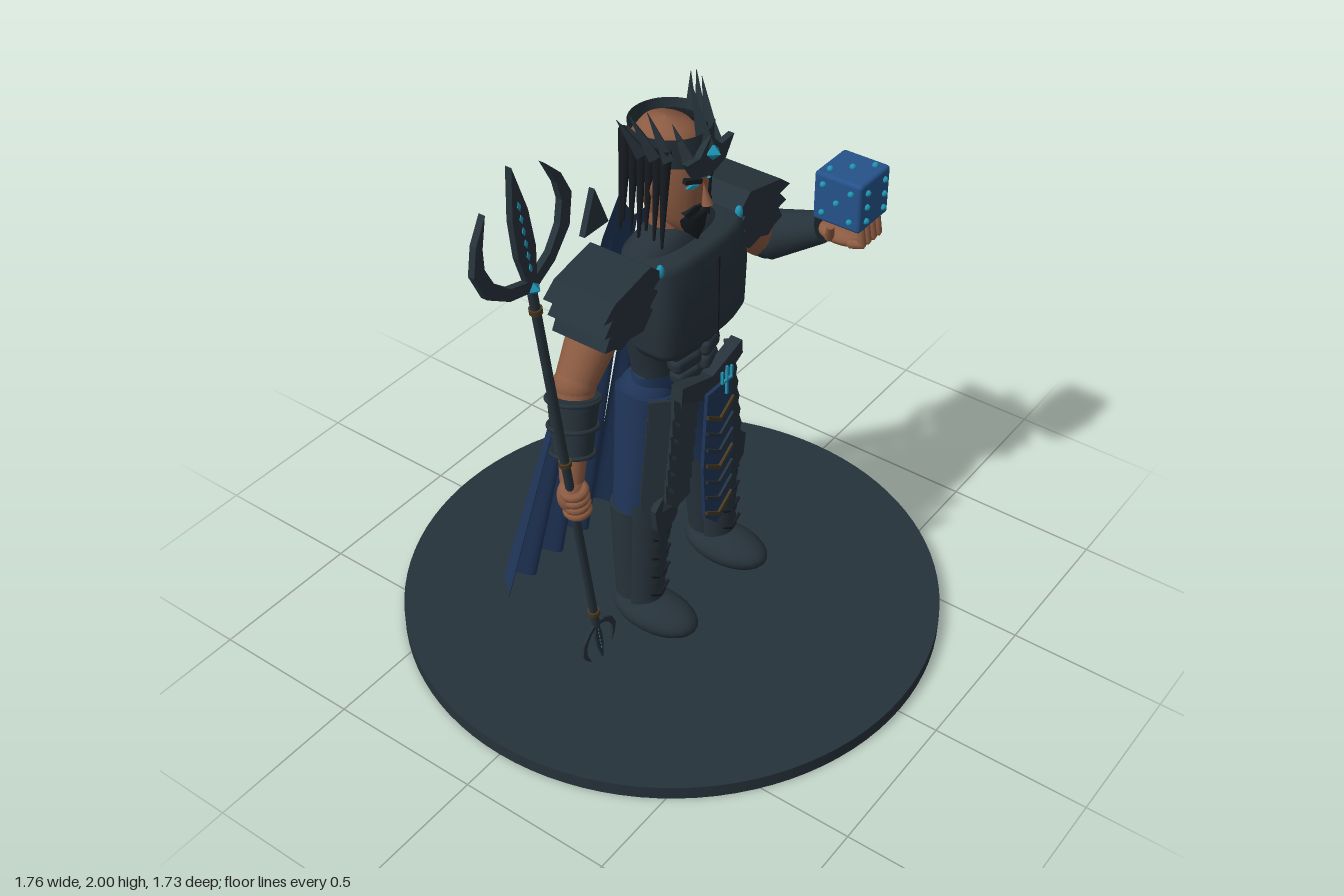
import * as THREE from 'three';
import { RoundedBoxGeometry } from 'three/addons/geometries/RoundedBoxGeometry.js';
import { ParametricGeometry } from 'three/addons/geometries/ParametricGeometry.js';

const mat = (name, color, side = THREE.FrontSide) => {
  const m = new THREE.MeshStandardMaterial({ color, side });
  m.name = name;
  return m;
};
const V = (p) => new THREE.Vector3(...p);

export function createModel() {
  const armour = mat('slate armour', 0x26323a, THREE.DoubleSide);
  const hair = mat('black hair', 0x171c21, THREE.DoubleSide);
  const skin = mat('skin', 0x8c5b42);
  const navy = mat('navy cloth', 0x1f3457, THREE.DoubleSide);
  const blue = mat('cube blue', 0x25528a);
  const teal = mat('teal glow', 0x1f93b3);
  const bronze = mat('dark bronze', 0x47391f);

  const model = new THREE.Group();
  const body = new THREE.Group();
  body.name = 'figure';
  body.position.x = 0.01;
  model.add(body);

  const add = (parent, name, geo, m, pos = [0, 0, 0], rot = [0, 0, 0]) => {
    const mesh = new THREE.Mesh(geo, m);
    mesh.name = name;
    mesh.position.set(...pos);
    mesh.rotation.set(...rot);
    parent.add(mesh);
    return mesh;
  };
  const ball = (parent, name, m, pos, r) =>
    add(parent, name, new THREE.SphereGeometry(1, 24, 16), m, pos).scale.set(...r);
  // Tapered round bar from a to b
  const rod = (parent, name, m, a, b, ra, rb, sides = 20) => {
    const d = V(b).sub(V(a));
    const geo = new THREE.CylinderGeometry(rb, ra, d.length(), sides);
    const mesh = add(parent, name, geo, m, V(a).add(V(b)).multiplyScalar(0.5).toArray());
    mesh.quaternion.setFromUnitVectors(new THREE.Vector3(0, 1, 0), d.normalize());
    return mesh;
  };
  // Flat cut plate, centred on its own z
  const plate = (pts, depth) => {
    const shape = new THREE.Shape(pts.map(([x, y]) => new THREE.Vector2(x, y)));
    return new THREE.ExtrudeGeometry(shape, { depth, bevelEnabled: false }).translate(0, 0, -depth / 2);
  };
  // Skin over rounded rings [y, rx, rz, centre z]
  const loft = (rings, e = 2, n = 40) => {
    const pos = [], idx = [];
    const c = (v) => Math.sign(v) * Math.abs(v) ** (2 / e);
    rings.forEach(([y, rx, rz, cz = 0], i) => {
      for (let j = 0; j < n; j++) {
        const t = (j / n) * Math.PI * 2;
        pos.push(rx * c(Math.sin(t)), y, cz + rz * c(Math.cos(t)));
        if (i < rings.length - 1) {
          const a = i * n + j, b = i * n + (j + 1) % n;
          idx.push(a, b, a + n, b, b + n, a + n);
        }
      }
    });
    const g = new THREE.BufferGeometry();
    g.setAttribute('position', new THREE.Float32BufferAttribute(pos, 3));
    g.setIndex(idx);
    g.computeVertexNormals();
    return g;
  };

  // Round stand
  add(model, 'base', new THREE.CylinderGeometry(0.867, 0.867, 0.045, 96), armour, [0.012, 0.0225, 0]);

  // Torso, chest plate and belt
  add(body, 'pelvis', loft([[0.8, 0.02, 0.02, -0.02], [0.82, 0.13, 0.08, -0.02], [0.88, 0.165, 0.095, -0.02], [0.97, 0.15, 0.08, -0.01]]), navy);
  add(body, 'torso', loft([[0.94, 0.13, 0.08, -0.015], [1.02, 0.14, 0.09, -0.015], [1.1, 0.165, 0.09, -0.01], [1.3, 0.2, 0.105],
    [1.4, 0.19, 0.09], [1.45, 0.08, 0.06], [1.46, 0.001, 0.001]], 2.4), armour);
  add(body, 'chestPlate', loft([[1.1, 0.01, 0.01, 0.06], [1.1, 0.19, 0.085, 0.06], [1.13, 0.205, 0.1, 0.06], [1.28, 0.208, 0.105, 0.06],
    [1.39, 0.205, 0.09, 0.055], [1.41, 0.19, 0.075, 0.05], [1.415, 0.01, 0.01, 0.05]], 3.4), armour);
  add(body, 'chestSeam', new THREE.BoxGeometry(0.006, 0.27, 0.008), hair, [0, 1.25, 0.163]);
  for (const s of [-1, 1]) {
    for (let i = 0; i < 3; i++)
      add(body, 'abPlate', new RoundedBoxGeometry(0.115 - i * 0.012, 0.055, 0.06, 3, 0.02), armour,
        [s * (0.06 - i * 0.005), 1.075 - i * 0.052, 0.085], [0, s * 0.25, s * -0.12]);
    ball(body, 'cloakClasp', teal, [s * 0.19, 1.41, 0.1], [0.012, 0.022, 0.012]);
  }
  add(body, 'belt', plate([[-0.15, 1.0], [0, 0.955], [0.15, 1.0], [0.155, 0.95], [0.06, 0.9], [0, 0.88], [-0.06, 0.9], [-0.155, 0.95]], 0.04), armour, [0, 0, 0.13]);
  // Belt ornament
  add(body, 'ornamentStem', new THREE.BoxGeometry(0.007, 0.1, 0.008), teal, [0, 0.965, 0.2]);
  add(body, 'ornamentBar', new THREE.BoxGeometry(0.05, 0.007, 0.008), teal, [0, 0.965, 0.2]);
  for (const s of [-1, 1]) add(body, 'ornamentProng', new THREE.BoxGeometry(0.007, 0.04, 0.008), teal, [s * 0.023, 0.985, 0.2]);

  // Hanging front cloth with chevron trim
  add(body, 'loincloth', plate([[-0.06, 0.93], [0.06, 0.93], [0.078, 0.66], [0.065, 0.46], [0, 0.395], [-0.065, 0.46], [-0.078, 0.66]], 0.012), navy, [0, 0, 0.17]);
  for (let i = 0; i < 7; i++) {
    const y = 0.86 - i * 0.062, w = 0.066;
    add(body, 'clothChevron', plate([[-w, y], [0, y - 0.045], [w, y], [w, y - 0.013], [0, y - 0.06], [-w, y - 0.013]], 0.008),
      i % 3 ? armour : bronze, [0, 0, 0.18]);
  }

  for (const s of [-1, 1]) {
    // Legs and feet
    rod(body, 'thigh', navy, [s * 0.1, 0.9, -0.02], [s * 0.18, 0.5, 0], 0.095, 0.074);
    ball(body, 'hip', navy, [s * 0.09, 0.87, -0.022], [0.1, 0.1, 0.092]);
    rod(body, 'shin', armour, [s * 0.195, 0.17, 0], [s * 0.18, 0.52, -0.005], 0.06, 0.078);
    ball(body, 'foot', armour, [s * 0.193, 0.118, 0.08], [0.086, 0.06, 0.153]);
    // Overlapping greave plates
    for (let i = 0; i < 5; i++) {
      const g = new THREE.CylinderGeometry(0.072 + i * 0.002, 0.084 + i * 0.002, 0.1, 20, 1, true, -1.25, 2.5);
      add(body, 'greavePlate', g, armour, [s * (0.194 - i * 0.004), 0.235 + i * 0.073, 0.018]);
      add(body, 'greaveTrim', plate([[-0.045, 0.02], [0, -0.01], [0.045, 0.02], [0.045, 0.026], [0, -0.003], [-0.045, 0.026]], 0.008),
        hair, [s * (0.194 - i * 0.004), 0.2 + i * 0.073, 0.098]);
    }
    add(body, 'kneeGuard', plate([[-0.06, 0.04], [0, 0.09], [0.06, 0.04], [0.05, -0.04], [0, -0.08], [-0.05, -0.04]], 0.02), armour, [s * 0.178, 0.53, 0.105]);
    // Scaled hip skirt
    for (let i = 0; i < 6; i++) for (let k = 0; k < 2; k++) {
      const w = 0.05;
      add(body, 'skirtScale', plate([[-w, 0.05], [w, 0.05], [w, -0.03], [0.2 * w * s, -0.06], [-w, -0.03]], 0.014), armour,
        [s * (0.105 + k * 0.06 + i * 0.008), 0.9 - i * 0.058 - k * 0.015, 0.125 - k * 0.03], [-0.22, s * (0.15 + k * 0.5), s * 0.2]);
    }
    // Layered shoulder guards
    for (let i = 0; i < 3; i++) {
      const y = 1.455 - i * 0.055, x = i * 0.018;
      const pts = [[0.18 + x, y - 0.05], [0.24 + x * 0.5, y], [0.4 + x * 0.3, y - 0.035], [0.45 - x * 0.5, y - 0.075], [0.39, y - 0.085], [0.36, y - 0.105], [0.32, y - 0.09], [0.26, y - 0.1]];
      add(body, 'shoulderGuard', plate(pts.map(([px, py]) => [s * px, py]), 0.21 - i * 0.012), armour);
    }
    // High collar beside the neck
    add(body, 'collar', plate([[s * 0.08, 1.42], [s * 0.13, 1.55], [s * 0.19, 1.42]], 0.02), armour, [0, 0, -0.09], [-0.06, 0, 0]);
  }

  // Head and face
  rod(body, 'neck', skin, [0, 1.36, -0.01], [0, 1.52, -0.01], 0.07, 0.065);
  add(body, 'head', loft([[1.44, 0.005, 0.005, 0.06], [1.45, 0.04, 0.05, 0.04], [1.5, 0.075, 0.09, 0.01], [1.58, 0.09, 0.105, 0], [1.66, 0.095, 0.112, -0.005],
    [1.72, 0.09, 0.105, -0.015], [1.76, 0.06, 0.07, -0.02], [1.775, 0.001, 0.001, -0.02]], 2.2), skin);
  add(body, 'nose', new THREE.ConeGeometry(0.017, 0.07, 12), skin, [0, 1.575, 0.115], [-0.2, 0, 0]);
  add(body, 'beard', loft([[1.415, 0.002, 0.002, 0.09], [1.45, 0.035, 0.03, 0.075], [1.5, 0.062, 0.06, 0.05], [1.52, 0.06, 0.055, 0.05], [1.525, 0.002, 0.002, 0.05]]), hair);
  for (const s of [-1, 1]) {
    add(body, 'moustache', plate([[0, 0], [s * 0.03, 0.004], [s * 0.065, -0.015], [s * 0.05, -0.03], [s * 0.02, -0.018]], 0.03), hair, [0, 1.54, 0.1], [0, s * 0.35, 0]);
    add(body, 'eye', plate([[-0.02, 0], [0, 0.008], [0.02, 0], [0, -0.008]], 0.008), teal, [s * 0.042, 1.61, 0.1], [0, s * 0.4, 0]);
    add(body, 'eyebrow', new THREE.BoxGeometry(0.055, 0.014, 0.016), hair, [s * 0.045, 1.632, 0.103], [0, s * 0.4, s * 0.2]);
    ball(body, 'ear', skin, [s * 0.097, 1.6, 0.0], [0.014, 0.032, 0.024]);
    // Long hair strands down the sides
    for (let i = 0; i < 7; i++) {
      const z = 0.055 - i * 0.027;
      rod(body, 'hairStrand', hair, [s * (0.112 - (i > 5 ? 0.02 : 0)), 1.42 + (i % 3) * 0.022, z - 0.008], [s * (0.1 - (i > 5 ? 0.025 : 0)), 1.74, z], 0.004, 0.017, 8);
    }
  }

  // Crown with spikes
  add(body, 'crownBand', loft([[1.675, 0.104, 0.118, 0], [1.72, 0.112, 0.122, -0.002], [1.77, 0.12, 0.12, -0.006]], 2), armour);
  add(body, 'crownFront', plate([[-0.11, 1.72], [-0.05, 1.715], [0, 1.765], [0.05, 1.715], [0.11, 1.72], [0.07, 1.66], [0, 1.64], [-0.07, 1.66]], 0.02), armour, [0, 0, 0.122]);
  const spike = (a, b, r) => {
    const mesh = rod(body, 'crownSpike', armour, a, b, r, 0.001, 4);
    mesh.geometry = mesh.geometry.toNonIndexed();
    mesh.geometry.computeVertexNormals();
  };
  spike([0, 1.72, 0.115], [0, 1.91, 0.06], 0.032);
  for (const s of [-1, 1]) for (const [x, z, tx, ty, tz] of [[0.065, 0.1, 0.08, 1.81, 0.06], [0.1, 0.06, 0.125, 1.85, 0.01], [0.11, 0.02, 0.155, 1.845, -0.03], [0.115, -0.02, 0.17, 1.825, -0.06]])
    spike([s * x, 1.71, z], [s * tx, ty, tz], 0.024);
  add(body, 'crownGem', new THREE.OctahedronGeometry(0.026), teal, [0, 1.715, 0.138]);

  // Two-panel cape with folds that deepen toward the hem
  for (const s of [-1, 1]) {
    const cape = (u, v, p) => {
      const fold = Math.cos(u * Math.PI * 7);
      const top = 1.43 + 0.1 * Math.max(0, 1 - Math.abs(u - 0.55) / 0.45);
      p.set(s * (0.006 + 0.012 * v + u * (0.165 + 0.3 * v)), top + (0.2 - top) * v + 0.012 * v * fold, -0.115 - 0.195 * v - 0.034 * v * fold);
    };
    add(body, 'capePanel', new ParametricGeometry(cape, 60, 20), navy);
  }

  // Right arm, lowered and gripping the shaft
  const right = new THREE.Group(); right.name = 'rightArm'; model.add(right);
  ball(right, 'shoulder', skin, [-0.28, 1.33, -0.01], [0.09, 0.09, 0.085]);
  rod(right, 'upperArm', skin, [-0.29, 1.32, -0.01], [-0.43, 1.13, -0.01], 0.085, 0.06);
  ball(right, 'elbow', skin, [-0.43, 1.13, -0.01], [0.062, 0.062, 0.062]);
  rod(right, 'forearm', skin, [-0.43, 1.13, -0.01], [-0.52, 0.86, 0.04], 0.06, 0.035);
  rod(right, 'bracer', armour, [-0.445, 1.1, -0.005], [-0.493, 0.93, 0.025], 0.076, 0.056);
  for (const [a, r] of [[0.05, 0.077], [0.5, 0.071], [0.95, 0.062]]) {
    const ring = add(right, 'bracerRim', new THREE.TorusGeometry(r, 0.007, 8, 28), armour, [-0.445 - 0.048 * a, 1.1 - 0.17 * a, -0.005 + 0.03 * a]);
    ring.quaternion.setFromUnitVectors(new THREE.Vector3(0, 0, 1), V([-0.048, -0.17, 0.03]).normalize());
  }
  ball(right, 'hand', skin, [-0.525, 0.82, 0.045], [0.05, 0.06, 0.042]);
  for (let i = 0; i < 4; i++)
    add(right, 'finger', new THREE.TorusGeometry(0.03, 0.014, 8, 16), skin, [-0.535 + i * 0.004, 0.845 - i * 0.026, 0.06], [Math.PI / 2, 0.15, 0]);

  // Left arm, bent forward with an open palm
  const left = new THREE.Group(); left.name = 'leftArm'; model.add(left);
  ball(left, 'shoulder', skin, [0.3, 1.33, -0.01], [0.09, 0.09, 0.085]);
  rod(left, 'upperArm', skin, [0.31, 1.32, -0.01], [0.48, 1.14, -0.015], 0.085, 0.064);
  ball(left, 'elbow', skin, [0.49, 1.135, -0.01], [0.068, 0.065, 0.065]);
  rod(left, 'bracer', armour, [0.505, 1.14, 0.01], [0.535, 1.215, 0.18], 0.08, 0.05);
  ball(left, 'bracerEnd', armour, [0.505, 1.14, 0.01], [0.078, 0.078, 0.06]);
  ball(left, 'palm', skin, [0.54, 1.218, 0.25], [0.052, 0.028, 0.085]);
  for (let i = 0; i < 4; i++) {
    const x = 0.5 + i * 0.03;
    rod(left, 'finger', skin, [x, 1.22, 0.3], [x, 1.235, 0.345], 0.015, 0.014, 10);
    rod(left, 'fingertip', skin, [x, 1.23, 0.34], [x, 1.288, 0.335], 0.014, 0.01, 10);
  }
  rod(left, 'thumb', skin, [0.495, 1.22, 0.23], [0.465, 1.28, 0.25], 0.016, 0.011, 10);

  // Dice cube with studs
  const cube = new THREE.Group(); cube.name = 'dice'; cube.position.set(0.543, 1.37, 0.268); model.add(cube);
  add(cube, 'diceBody', new RoundedBoxGeometry(0.164, 0.164, 0.164, 3, 0.012), blue);
  const o = 0.048;
  const pips = { 1: [[0, 0]], 2: [[-o, -o], [o, o]], 4: [[-o, -o], [o, o], [-o, o], [o, -o]] };
  pips[3] = [...pips[1], ...pips[2]];
  pips[5] = [...pips[1], ...pips[4]];
  pips[6] = [...pips[4], [-o, 0], [o, 0]];
  const faces = [[6, (a, b, h) => [a, b, h]], [1, (a, b, h) => [a, b, -h]], [4, (a, b, h) => [h, a, b]],
    [5, (a, b, h) => [-h, a, b]], [3, (a, b, h) => [a, h, b]], [2, (a, b, h) => [a, -h, b]]];
  for (const [n, place] of faces) for (const [a, b] of pips[n]) ball(cube, 'pip', teal, place(a, b, 0.084), [0.01, 0.01, 0.01]);

  // Trident: leaning shaft with a large head and a small foot
  const trident = new THREE.Group(); trident.name = 'trident';
  trident.position.set(-0.45, 0.25, 0.055); trident.rotation.z = 0.158; model.add(trident);
  rod(trident, 'shaft', armour, [0, 0, 0], [0, 1.38, 0], 0.013, 0.014, 12);
  const fork = (name, y, scale, turn) => {
    const g = new THREE.Group(); g.name = name;
    g.position.y = y; g.rotation.z = turn; g.scale.setScalar(scale); trident.add(g);
    add(g, 'blade', plate([[-0.012, 0], [-0.034, 0.13], [-0.03, 0.25], [0, 0.4], [0.03, 0.25], [0.034, 0.13], [0.012, 0]], 0.02), armour);
    for (const s of [-1, 1]) {
      const pts = [[0.0, 0.0], [0.09, 0.035], [0.165, 0.1], [0.192, 0.19], [0.165, 0.27], [0.115, 0.335], [0.145, 0.25], [0.152, 0.19], [0.13, 0.125], [0.08, 0.07], [0, 0.035]];
      add(g, 'sideProng', plate(pts.map(([x, py]) => [s * x, py]), 0.02), armour);
    }
    for (let i = 0; i < 6; i++)
      add(g, 'bladeInlay', plate([[0, -0.014], [0.006, 0], [0, 0.014], [-0.006, 0]], 0.026), teal, [0, 0.08 + i * 0.04, 0]);
    add(g, 'forkGem', new THREE.OctahedronGeometry(0.03), teal, [0, 0.01, 0]);
  };
  fork('head', 1.37, 1, 0);
  fork('footFork', 0.01, 0.42, Math.PI);
  for (const y of [0.06, 0.52, 0.72, 1.3]) add(trident, 'shaftRing', new THREE.CylinderGeometry(0.019, 0.019, 0.016, 12), bronze, [0, y, 0]);

  return model;
}
